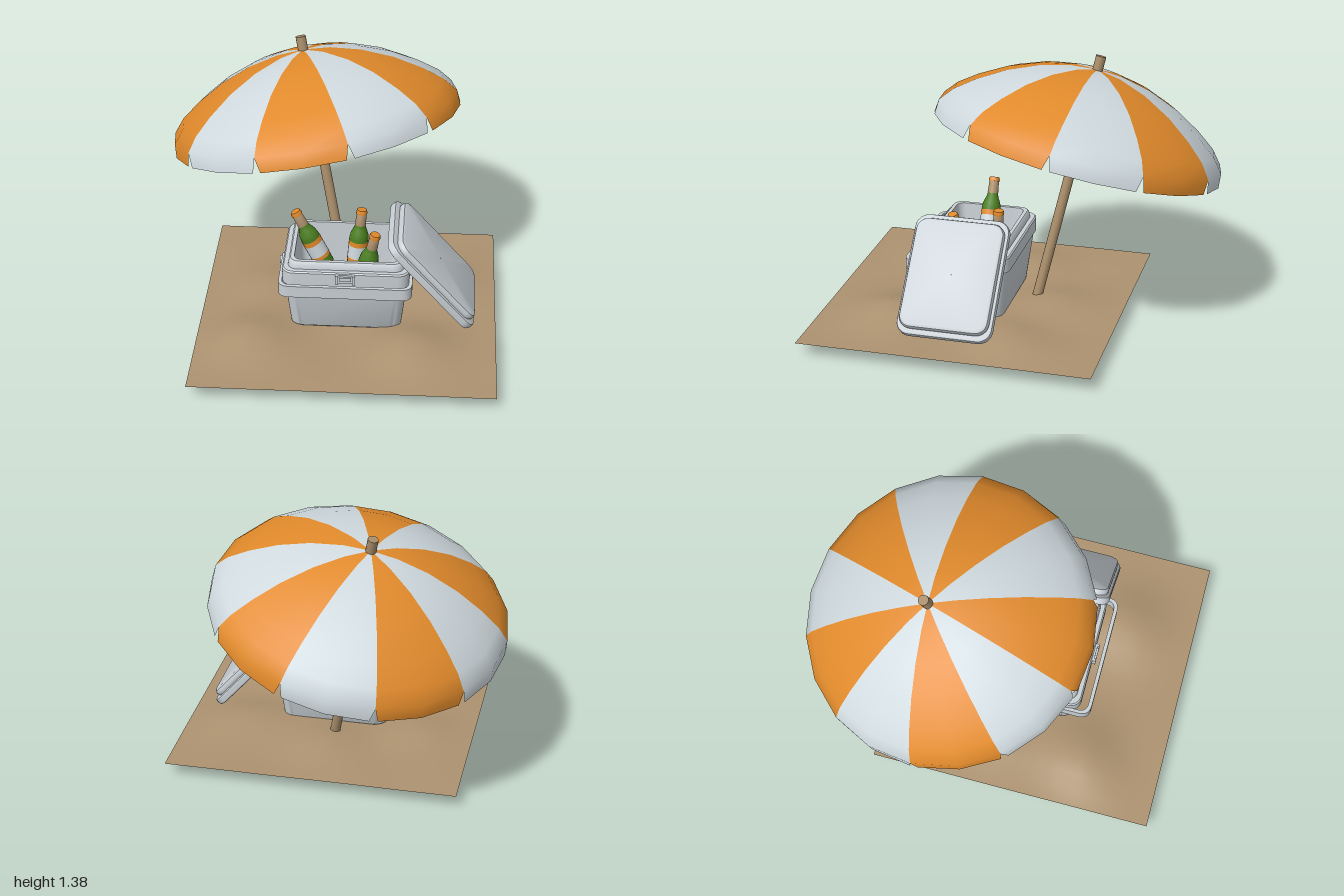
import * as THREE from 'three';
import { toCreasedNormals } from 'three/addons/utils/BufferGeometryUtils.js';

const paint = (name, color, side = THREE.FrontSide) => {
  const m = new THREE.MeshStandardMaterial({ color, side });
  m.name = name;
  return m;
};

// Surface through rows of points; rows run upward, points run clockwise seen from above
function grid(rows) {
  const n = rows[0].length, index = [];
  for (let i = 0; i < rows.length - 1; i++)
    for (let j = 0; j < n - 1; j++) {
      const a = i * n + j, b = a + 1, d = a + n, c = d + 1;
      index.push(a, d, b, d, c, b);
    }
  const g = new THREE.BufferGeometry();
  g.setAttribute('position', new THREE.Float32BufferAttribute(rows.flat(2), 3));
  g.setIndex(index);
  g.computeVertexNormals();
  return g;
}

// Rounded-rectangle loft; each ring is [halfX, halfZ, y, cornerRadius]
function loft(rings) {
  const rows = rings.map(([hx, hz, y, r]) => {
    const row = [];
    [[1, 1], [-1, 1], [-1, -1], [1, -1]].forEach(([sx, sz], q) => {
      for (let k = 0; k <= 6; k++) {
        const a = (q + k / 6) * Math.PI / 2;
        row.push([sx * (hx - r) + r * Math.cos(a), y, sz * (hz - r) + r * Math.sin(a)]);
      }
    });
    row.push(row[0]);
    return row;
  });
  return toCreasedNormals(grid(rows), 0.7);
}

export function createModel() {
  const model = new THREE.Group();
  const white = paint('canopyWhite', 0xcfd9de, THREE.DoubleSide);
  const orange = paint('orange', 0xe18a2b, THREE.DoubleSide);
  const sandTan = paint('sand', 0xac9270, THREE.DoubleSide);
  const wood = paint('wood', 0xa88c69);
  const plastic = paint('coolerGrey', 0xcad1d6);
  const green = paint('bottleGreen', 0x4b7f20);
  const add = (parent, name, geometry, material, x = 0, y = 0, z = 0) => {
    const m = new THREE.Mesh(geometry, material);
    m.name = name;
    m.position.set(x, y, z);
    parent.add(m);
    return m;
  };
  const UP = new THREE.Vector3(0, 1, 0);

  // Sand sheet with soft mounds that fade out at the edges
  const mounds = [[-0.4, 0.58, 0.07, 0.2], [0.42, 0.6, 0.068, 0.2], [0.1, -0.17, 0.045, 0.2],
    [-0.35, 0.05, 0.04, 0.18], [0.55, 0.0, 0.05, 0.2], [0.1, 0.3, 0.012, 0.15]];
  const sand = new THREE.PlaneGeometry(1.535, 1.53, 18, 18).rotateX(-Math.PI / 2).translate(0.0975, 0, 0.23);
  const p = sand.attributes.position;
  for (let i = 0; i < p.count; i++) {
    const x = p.getX(i), z = p.getZ(i);
    let y = 0.073 + 0.007 * Math.sin(7 * x + 2 * z) * Math.cos(6 * z - 3 * x);
    for (const [mx, mz, h, w] of mounds) y += h * Math.exp(-((x - mx) ** 2 + (z - mz) ** 2) / (w * w));
    const edge = Math.min(0.7675 - Math.abs(x - 0.0975), 0.765 - Math.abs(z - 0.23));
    p.setY(i, 0.073 + (y - 0.073) * Math.min(1, 0.15 + edge / 0.2));
  }
  sand.computeVertexNormals();
  add(model, 'sand', sand, sandTan);

  // Tilted parasol, built along its own axis
  const parasol = new THREE.Group();
  parasol.name = 'parasol';
  parasol.position.set(0.075, 0.008, -0.045);
  parasol.quaternion.setFromUnitVectors(UP, new THREE.Vector3(-0.27, 1.36, -0.29).normalize());
  model.add(parasol);
  add(parasol, 'pole', new THREE.CylinderGeometry(0.027, 0.027, 1.417, 16), wood, 0, 0.7085, 0);

  // Ten canopy panels; the bottom row is narrowed to leave a notch at each seam
  const ribs = [[0.764, 0.93], [0.758, 1.005], [0.7, 1.075], [0.6, 1.15], [0.46, 1.232],
    [0.3, 1.297], [0.14, 1.335], [0, 1.345]];
  for (let k = 0; k < 10; k++) {
    const rows = ribs.map(([r, y], i) => [-1, 0, 1].map((side) => {
      const a = k * Math.PI / 5 + side * (Math.PI / 10 - (i === 0 ? 0.027 : 0));
      return [r * Math.sin(a), y, -r * Math.cos(a)];
    }));
    add(parasol, 'canopyPanel', grid(rows), k % 2 ? orange : white);
  }

  // Cooler: one loft up the outside, over the rim and down into the cavity
  const cooler = new THREE.Group();
  cooler.name = 'cooler';
  cooler.position.set(0.09, 0, 0.25);
  model.add(cooler);
  add(cooler, 'coolerBody', loft([
    [0.001, 0.001, 0.085, 0.0005], [0.275, 0.19, 0.085, 0.06], [0.285, 0.2, 0.095, 0.06],
    [0.315, 0.235, 0.36, 0.06], [0.325, 0.245, 0.365, 0.06], [0.325, 0.245, 0.438, 0.06],
    [0.318, 0.238, 0.445, 0.055], [0.296, 0.216, 0.445, 0.05], [0.292, 0.212, 0.477, 0.05],
    [0.284, 0.204, 0.485, 0.045], [0.265, 0.185, 0.485, 0.04], [0.25, 0.17, 0.24, 0.04],
    [0.001, 0.001, 0.24, 0.0005]]), plastic);

  // Bail handle wrapping the front, with a pivot on each side
  const bail = new THREE.Shape();
  bail.moveTo(-0.34, -0.02);
  bail.lineTo(-0.34, 0.245);
  bail.quadraticCurveTo(-0.34, 0.305, -0.28, 0.305);
  bail.lineTo(0.28, 0.305);
  bail.quadraticCurveTo(0.34, 0.305, 0.34, 0.245);
  bail.lineTo(0.34, -0.02);
  bail.lineTo(0.322, -0.02);
  bail.lineTo(0.322, 0.24);
  bail.quadraticCurveTo(0.322, 0.285, 0.275, 0.285);
  bail.lineTo(-0.275, 0.285);
  bail.quadraticCurveTo(-0.322, 0.285, -0.322, 0.24);
  bail.lineTo(-0.322, -0.02);
  const bailGeo = new THREE.ExtrudeGeometry(bail, { depth: 0.064, bevelEnabled: false, curveSegments: 6 });
  add(cooler, 'handle', toCreasedNormals(bailGeo.rotateX(Math.PI / 2), 0.7), plastic, 0, 0.396, 0);
  for (const s of [-1, 1])
    add(cooler, 'handlePivot', new THREE.CylinderGeometry(0.022, 0.022, 0.04, 16).rotateZ(Math.PI / 2),
      plastic, s * 0.332, 0.364, 0);

  // Front latch: backing plate, side rails and clip
  add(cooler, 'latchPlate', new THREE.BoxGeometry(0.1, 0.05, 0.012), plastic, 0, 0.415, 0.248);
  for (const s of [-1, 1])
    add(cooler, 'latchRail', new THREE.BoxGeometry(0.014, 0.05, 0.016), plastic, s * 0.043, 0.415, 0.256);
  add(cooler, 'latchClip', new THREE.BoxGeometry(0.06, 0.02, 0.016), plastic, 0, 0.42, 0.256);

  // Lid leaning against the cooler
  const lid = new THREE.Group();
  lid.name = 'lid';
  lid.position.set(0.525, 0.367, 0.255);
  lid.rotation.z = -0.849;
  model.add(lid);
  const slab = (hx, hz, y0, y1, r, b) => loft([
    [0.001, 0.001, y0, 0.0005], [hx - b, hz - b, y0, r - b], [hx - b * 0.3, hz - b * 0.3, y0 + b * 0.3, r - b * 0.3],
    [hx, hz, y0 + b, r], [hx, hz, y1 - b, r], [hx - b * 0.3, hz - b * 0.3, y1 - b * 0.3, r - b * 0.3],
    [hx - b, hz - b, y1, r - b], [0.001, 0.001, y1, 0.0005]]);
  add(lid, 'lidBase', slab(0.322, 0.25, -0.022, 0.022, 0.07, 0.012), plastic);
  add(lid, 'lidTop', slab(0.293, 0.234, 0.01, 0.06, 0.065, 0.02), plastic);

  // Bottles given as tip and a point further down the axis
  const lathe = (pts) => new THREE.LatheGeometry(pts.map(([r, y]) => new THREE.Vector2(r, y)), 20);
  const glass = lathe([[0, 0], [0.044, 0], [0.05, 0.008], [0.05, 0.185], [0.046, 0.21],
    [0.034, 0.24], [0.027, 0.26], [0.024, 0.325], [0, 0.325]]);
  const foil = lathe([[0.0285, 0.262], [0.0255, 0.332], [0, 0.332]]);
  const cap = toCreasedNormals(lathe([[0, 0.328], [0.029, 0.328], [0.029, 0.338], [0.025, 0.35], [0, 0.351]]), 0.7);
  const band = (y0, y1) => lathe([[0.0515, y0], [0.0515, y1]]);
  const bottles = [
    [[-0.183, 0.648, 0.235], [-0.028, 0.335, 0.235]],
    [[0.155, 0.603, 0.12], [0.125, 0.25, 0.14]],
    [[0.235, 0.592, 0.345], [0.165, 0.25, 0.31]]];
  for (const [tip, base] of bottles) {
    const top = new THREE.Vector3(...tip), axis = top.clone().sub(new THREE.Vector3(...base)).normalize();
    const bottle = new THREE.Group();
    bottle.name = 'bottle';
    bottle.quaternion.setFromUnitVectors(UP, axis);
    bottle.position.copy(top).addScaledVector(axis, -0.35);
    model.add(bottle);
    add(bottle, 'glass', glass, green);
    add(bottle, 'neckFoil', foil, wood);
    add(bottle, 'cap', cap, orange);
    add(bottle, 'label', band(0.075, 0.145), white);
    add(bottle, 'labelTopBand', band(0.145, 0.172), orange);
    add(bottle, 'labelBottomBand', band(0.055, 0.075), orange);
  }
  return model;
}
